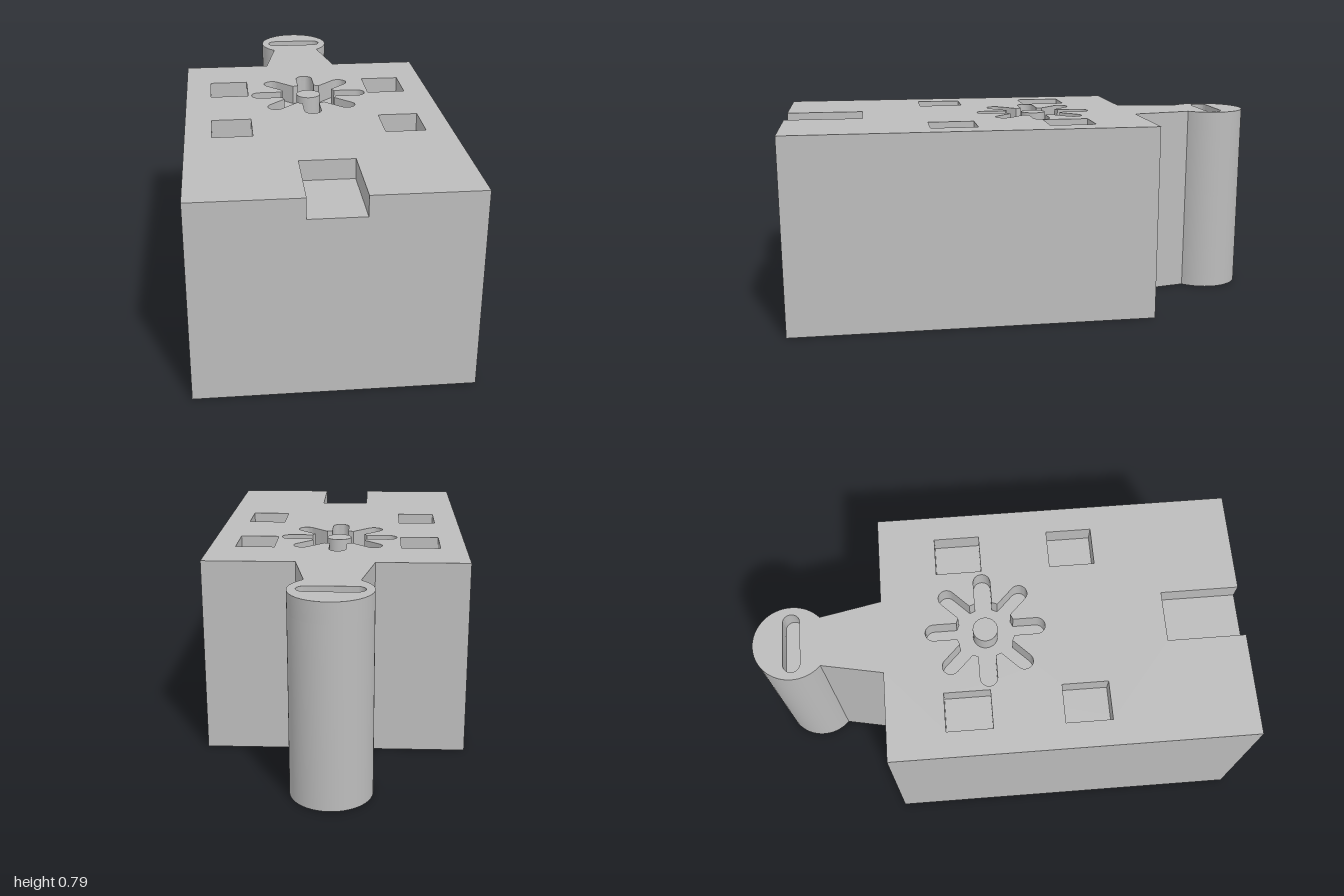
import * as THREE from 'three';
import { toCreasedNormals } from 'three/addons/utils/BufferGeometryUtils.js';

const FLOOR = 0.71, TOP = 0.79;           // pocket floor and top face
const HUB = { x: 0, z: -0.055 };          // centre of the star pocket
const PEG = { z: -0.843, r: 0.157 };      // rounded post at the back

// Plans are drawn with shape y = -z, then laid flat.
function slab(shape, y0, y1) {
  const geo = new THREE.ExtrudeGeometry(shape, { depth: y1 - y0, bevelEnabled: false, curveSegments: 32 });
  geo.rotateX(-Math.PI / 2);
  geo.translate(0, y0, 0);
  return toCreasedNormals(geo, 0.6);
}

// Body, tapered neck and round post in one outline
function outline(withNotch) {
  const s = new THREE.Shape();
  const a = Math.acos(0.105 / PEG.r);
  s.moveTo(-0.525, -1);
  if (withNotch) {
    s.lineTo(-0.106, -1);
    s.lineTo(-0.106, -0.68);
    s.lineTo(0.106, -0.68);
    s.lineTo(0.106, -1);
  }
  s.lineTo(0.525, -1);
  s.lineTo(0.525, 0.475);
  s.lineTo(0.155, 0.475);
  s.absarc(0, -PEG.z, PEG.r, -a, Math.PI + a, false);
  s.lineTo(-0.155, 0.475);
  s.lineTo(-0.525, 0.475);
  s.closePath();
  return s;
}

function squareHole(x, z) {
  const w = 0.08, d = 0.0935;
  return new THREE.Path([[-w, -d], [-w, d], [w, d], [w, -d], [-w, -d]]
    .map(([px, py]) => new THREE.Vector2(x + px, -z + py)));
}

function slotHole() {
  const p = new THREE.Path(), r = 0.035, c = 0.09;
  p.absarc(c, -PEG.z, r, -Math.PI / 2, Math.PI / 2, false);
  p.absarc(-c, -PEG.z, r, Math.PI / 2, Math.PI * 1.5, false);
  p.closePath();
  return p;
}

// Eight round-ended arms joined by a small hub
function starHole() {
  const pts = [], r = 0.035, tip = 0.21, hub = 0.116;
  for (let i = 0; i < 8; i++) {
    const ang = i * Math.PI / 4, c = Math.cos(ang), s = Math.sin(ang);
    const add = (u, v) => pts.push(new THREE.Vector2(HUB.x + u * c - v * s, -HUB.z + u * s + v * c));
    add(hub, -r);
    for (let k = 0; k <= 12; k++) {
      const t = -Math.PI / 2 + Math.PI * k / 12;
      add(tip + r * Math.cos(t), r * Math.sin(t));
    }
    add(hub, r);
  }
  return new THREE.Path(pts);
}

export function createModel() {
  const group = new THREE.Group();
  const grey = new THREE.MeshStandardMaterial({ color: 0xbcbcbc });
  grey.name = 'plain grey';
  const add = (name, geo) => {
    const mesh = new THREE.Mesh(geo, grey);
    mesh.name = name;
    group.add(mesh);
    return mesh;
  };

  // Solid block, whose top forms the pocket floors
  add('lowerBlock', slab(outline(false), 0, FLOOR));

  // Top layer pierced by the pockets
  const top = outline(true);
  for (const x of [-0.34, 0.34])
    for (const z of [-0.1465, 0.3265]) top.holes.push(squareHole(x, z));
  top.holes.push(starHole(), slotHole());
  add('pocketedTopLayer', slab(top, FLOOR, TOP));

  // Pin standing in the star pocket
  const pin = add('centrePin', new THREE.CylinderGeometry(0.051, 0.051, TOP - FLOOR, 32));
  pin.position.set(HUB.x, (TOP + FLOOR) / 2, HUB.z);

  return group;
}
